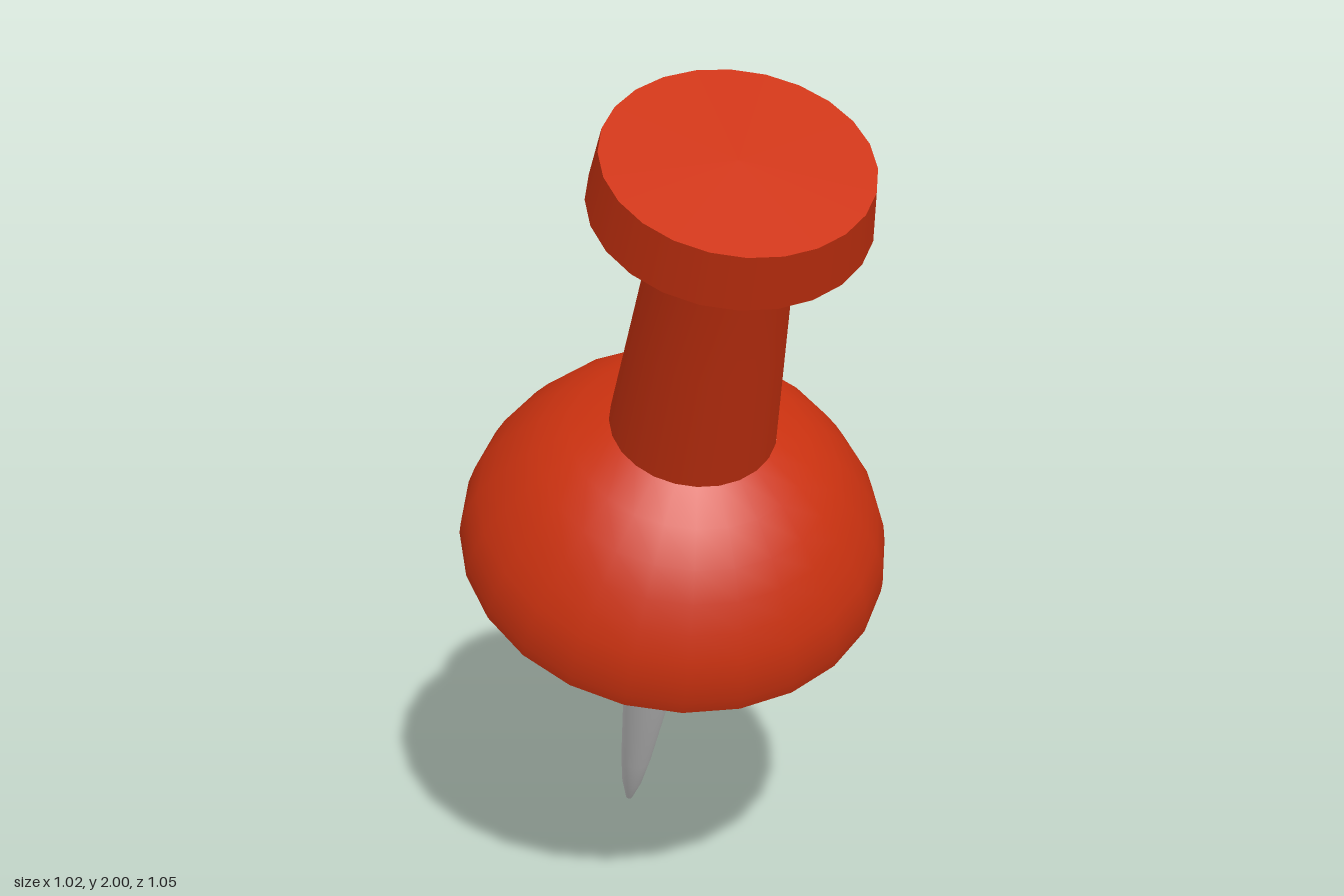
import * as THREE from 'three';

const SIDES = 24;

export function createModel() {
  const red = new THREE.MeshStandardMaterial({ color: 0xcc3210 });
  red.name = 'red plastic';
  const steel = new THREE.MeshStandardMaterial({ color: 0xcccccc });
  steel.name = 'steel';

  const model = new THREE.Group();
  model.name = 'pushPin';

  // Everything is turned around one axis that starts at the needle tip
  const pin = new THREE.Group();
  pin.name = 'tiltedPin';
  const tip = new THREE.Vector3(-0.34, 0.003, -0.4);
  const top = new THREE.Vector3(0.255, 1.88, 0.28);
  pin.position.copy(tip);
  pin.quaternion.setFromUnitVectors(
    new THREE.Vector3(0, 1, 0), top.clone().sub(tip).normalize());
  model.add(pin);

  const add = (name, geometry, material, height = 0) => {
    const mesh = new THREE.Mesh(geometry, material);
    mesh.name = name;
    mesh.position.y = height;
    pin.add(mesh);
    return mesh;
  };
  // Profile points are [radius, height], listed from bottom to top
  const turn = (points) => new THREE.LatheGeometry(
    points.map(([r, h]) => new THREE.Vector2(r, h)), SIDES);

  // Needle with a bullet-shaped point
  add('needle', turn([
    [0.008, 0], [0.024, 0.07], [0.036, 0.17], [0.046, 0.3],
    [0.056, 0.43], [0.063, 0.6], [0.07, 0.85], [0.073, 0.99],
  ]), steel);
  add('needleTip', new THREE.CircleGeometry(0.008, SIDES).rotateX(Math.PI / 2), steel);

  // Domed collar and its flat underside
  add('collarDome', turn([
    [0.468, 0], [0.467, 0.03], [0.456, 0.08], [0.436, 0.13], [0.405, 0.18],
    [0.367, 0.233], [0.32, 0.283], [0.255, 0.336], [0.177, 0.38],
  ]), red, 0.983);
  add('collarBase', new THREE.CircleGeometry(0.468, SIDES).rotateX(Math.PI / 2), red, 0.983);

  // Tapered grip flaring into the cap
  add('grip', turn([
    [0.177, 1.36], [0.157, 1.64], [0.138, 1.91], [0.142, 1.935],
    [0.153, 1.955], [0.172, 1.968],
  ]), red);

  // Cap, slightly narrower at the top
  add('cap', new THREE.CylinderGeometry(0.265, 0.279, 0.119, SIDES), red, 2.027);

  return model;
}
